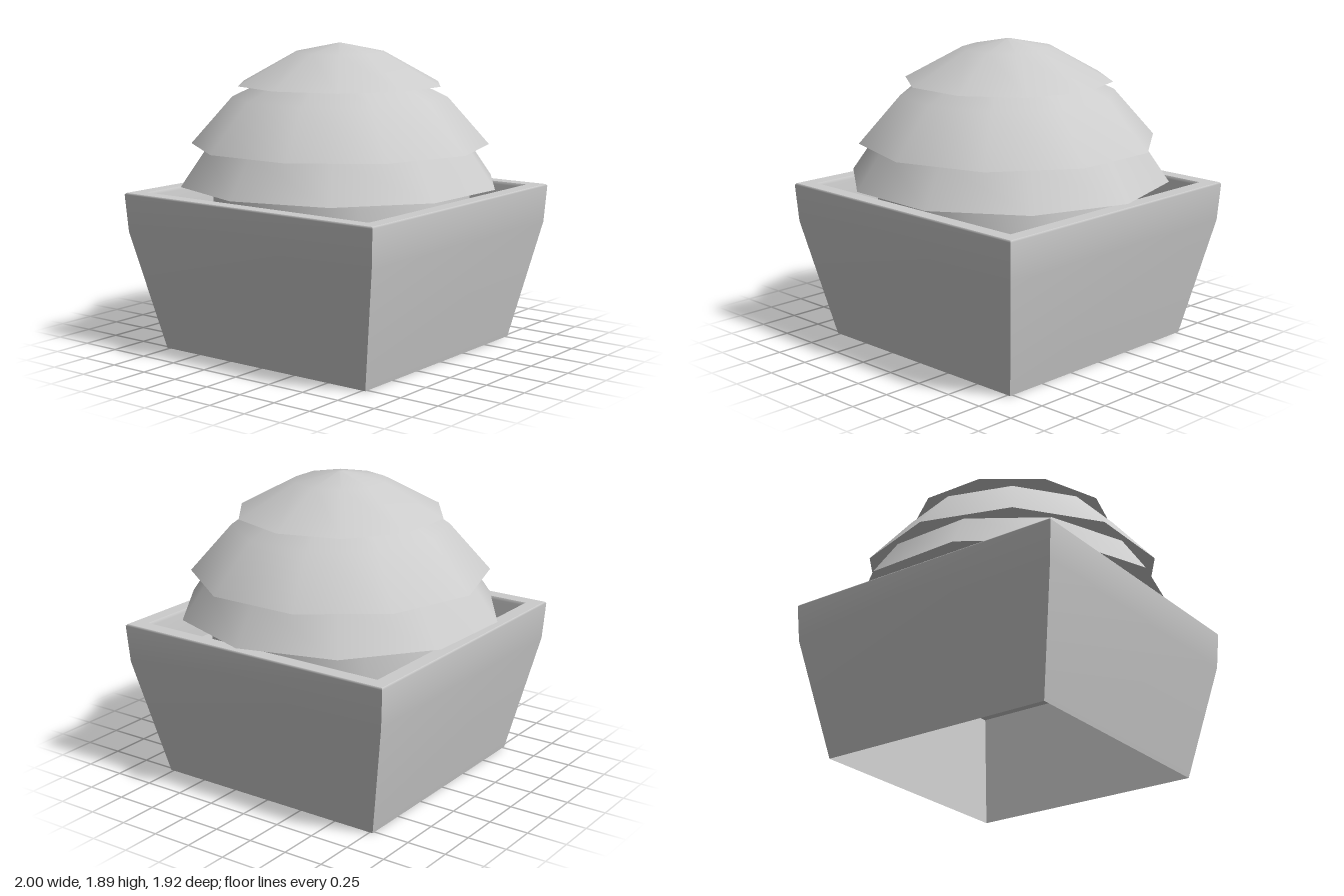
import * as THREE from 'three';

const grey = new THREE.MeshStandardMaterial({ color: 0xcccccc, side: THREE.DoubleSide });
grey.name = 'plainGrey';

function add(parent, name, geometry) {
  const mesh = new THREE.Mesh(geometry, grey);
  mesh.name = name;
  parent.add(mesh);
  return mesh;
}

// Four mitred strips around a square, following [half width, height] inwards to outwards
function squareBand(parent, name, profile) {
  const geo = new THREE.PlaneGeometry(1, 1, 1, profile.length - 1);
  const pos = geo.attributes.position;
  for (let i = 0; i < pos.count; i++) {
    const [half, y] = profile[Math.floor(i / 2)];
    pos.setXYZ(i, i % 2 ? half : -half, y, half);
  }
  geo.computeVertexNormals();
  for (let i = 0; i < 4; i++) add(parent, name, geo).rotation.y = i * Math.PI / 2;
}

// Ten-sided leaf dome; turn is the angle of its first corner from +x towards +z
function leafTier(parent, name, turn, profile, closed) {
  const tier = new THREE.Group();
  tier.name = name;
  const angle = THREE.MathUtils.degToRad(turn);
  const points = profile.map(([r, y]) => new THREE.Vector2(r, y));
  add(tier, 'leafShell', new THREE.LatheGeometry(points, 10, Math.PI / 2 - angle));
  if (closed) {
    const [r, y] = profile[0];
    const under = new THREE.CircleGeometry(r, 10, angle);
    under.rotateX(Math.PI / 2);
    under.translate(0, y, 0);
    add(tier, 'leafUnderside', under);
  }
  parent.add(tier);
}

export function createModel() {
  const model = new THREE.Group();
  model.name = 'pottedBush';

  // Square tapered pot, open underneath, with a flat rim and a lining down to the foot
  const pot = new THREE.Group();
  pot.name = 'pot';
  squareBand(pot, 'innerLip', [[0.82, 0.772], [0.836, 0.97], [0.845, 0.988]]);
  squareBand(pot, 'rim', [[0.845, 0.988], [0.933, 0.988]]);
  squareBand(pot, 'potWall', [[0.933, 0.988], [0.942, 0.978], [0.927, 0.745], [0.77, 0]]);
  squareBand(pot, 'potLining', [[0.77, 0], [0.84, 0.77]]);
  model.add(pot);

  // Soil
  const soil = new THREE.PlaneGeometry(1.68, 1.68);
  soil.rotateX(-Math.PI / 2);
  soil.translate(0, 0.77, 0);
  add(model, 'soil', soil);

  // Bush, from the lowest tier to the crown
  const bush = new THREE.Group();
  bush.name = 'bush';
  leafTier(bush, 'baseTier', 27, [[0.825, 0.757], [0.81, 0.99], [0.79, 1.08]], false);
  leafTier(bush, 'lowerTier', 1.8, [[1, 1.037], [0.835, 1.275], [0.72, 1.44]], true);
  leafTier(bush, 'middleTier', 18, [[0.925, 1.27], [0.667, 1.563], [0.3, 1.74]], true);
  leafTier(bush, 'crownTier', 0,
    [[0.645, 1.643], [0.285, 1.84], [0.02, 1.894], [0, 1.894]], true);
  model.add(bush);

  return model;
}
